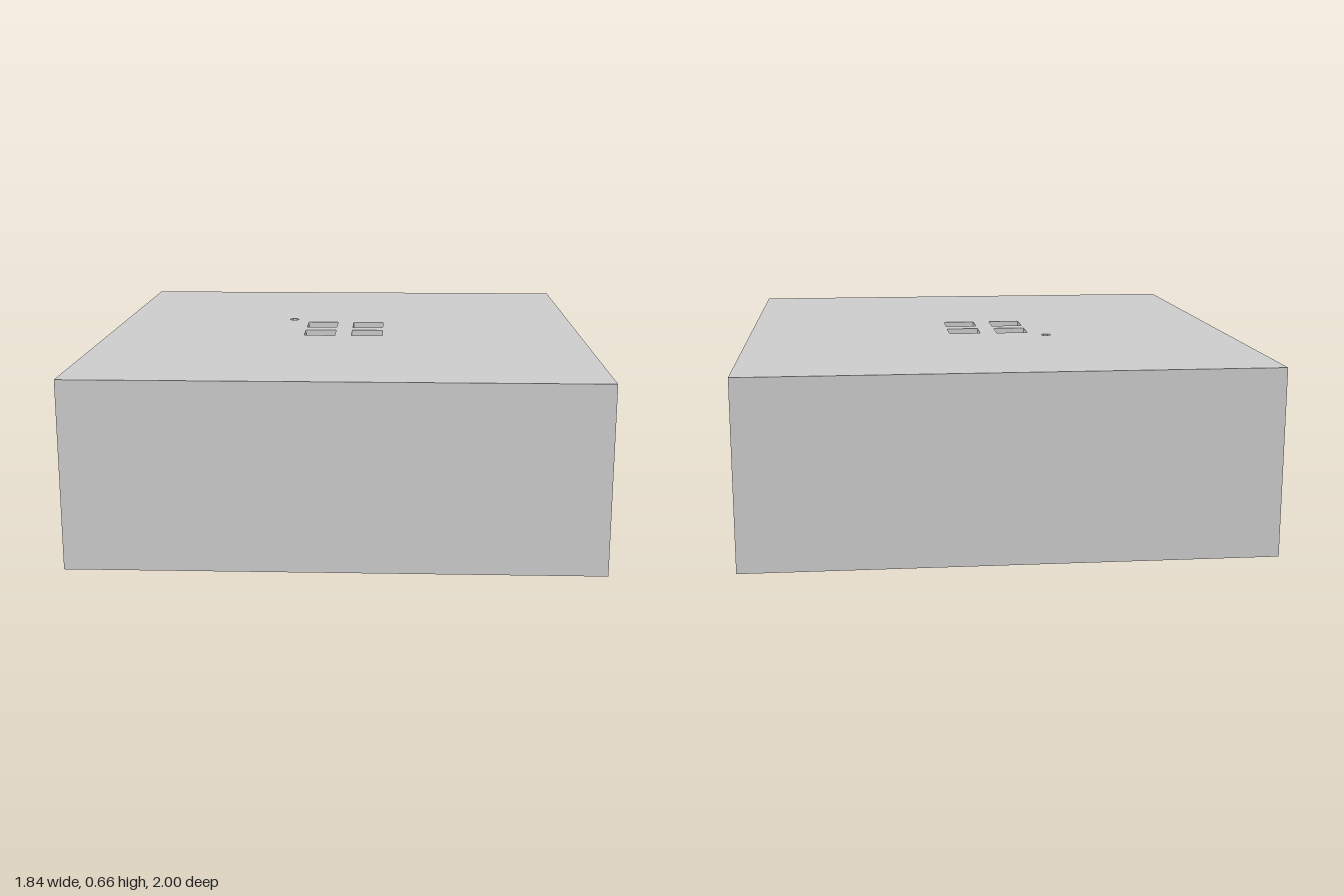
import * as THREE from 'three';

const W = 0.92, D = 1, H = 0.66;
const material = new THREE.MeshStandardMaterial({ color: 0xcccccc, flatShading: true });

// Counter-clockwise outlines seen from above; the second coordinate is -z
const rect = (cx, cz, hw, hd) =>
  [[-1, -1], [1, -1], [1, 1], [-1, 1]].map(([x, y]) => new THREE.Vector2(cx + x * hw, -cz + y * hd));

const ring = (cx, cz, r, sides) => Array.from({ length: sides }, (_, i) => {
  const a = ((i + 0.5) / sides) * Math.PI * 2;
  return new THREE.Vector2(cx + r * Math.cos(a), -cz + r * Math.sin(a));
});

function addMesh(parent, name, geometry) {
  const mesh = new THREE.Mesh(geometry, material);
  mesh.name = name;
  parent.add(mesh);
  return mesh;
}

// Vertical walls along an outline: outward when y0 < y1, inward when y0 > y1
function walls(outline, y0, y1) {
  const pos = [];
  outline.forEach((a, i) => {
    const b = outline[(i + 1) % outline.length];
    const p = [[a.x, y0, -a.y], [b.x, y0, -b.y], [b.x, y1, -b.y], [a.x, y1, -a.y]];
    for (const k of [0, 1, 2, 0, 2, 3]) pos.push(...p[k]);
  });
  const g = new THREE.BufferGeometry();
  g.setAttribute('position', new THREE.Float32BufferAttribute(pos, 3));
  g.computeVertexNormals();
  return g;
}

// Horizontal face looking up at height y, with optional holes
function face(outline, y, holes = []) {
  const shape = new THREE.Shape(outline);
  for (const h of holes) shape.holes.push(new THREE.Path(h));
  return new THREE.ShapeGeometry(shape).rotateX(-Math.PI / 2).translate(0, y, 0);
}

export function createModel() {
  const model = new THREE.Group();
  model.name = 'block';

  // Four square pockets around the centre and a small corner mark
  const recesses = [];
  for (const x of [-0.095, 0.09]) {
    for (const z of [-0.095, 0.09]) {
      recesses.push({ name: 'squarePocket', outline: rect(x, z, 0.06, 0.06), depth: 0.08 });
    }
  }
  recesses.push({ name: 'cornerMark', outline: ring(-0.22, -0.22, 0.0195, 8), depth: 0.02 });

  // Outer body
  const body = rect(0, 0, W, D);
  addMesh(model, 'sides', walls(body, 0, H));
  addMesh(model, 'topFace', face(body, H, recesses.map((r) => r.outline)));
  addMesh(model, 'bottomFace', face(body, 0).rotateX(Math.PI));

  // Recess walls and floors
  for (const { name, outline, depth } of recesses) {
    const recess = new THREE.Group();
    recess.name = name;
    addMesh(recess, name + 'Walls', walls(outline, H, H - depth));
    addMesh(recess, name + 'Floor', face(outline, H - depth));
    model.add(recess);
  }
  return model;
}
